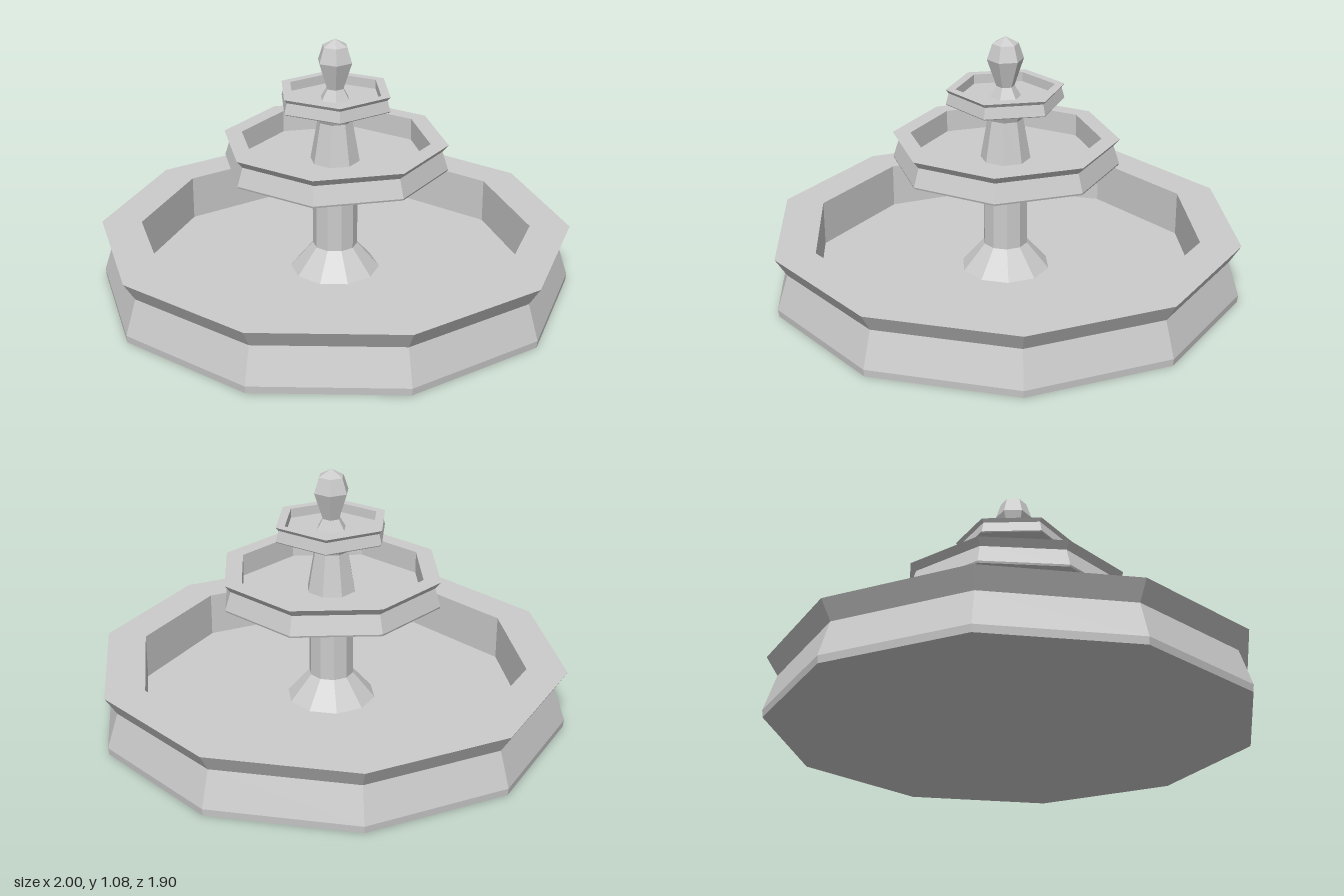
import * as THREE from 'three';

const stone = new THREE.MeshStandardMaterial({ color: 0xcccccc, flatShading: true });

// Faceted solid of revolution with a corner on the x axis; profile runs from bottom to top as [radius, y]
function turned(name, sides, profile) {
  const points = profile.map(([r, y]) => new THREE.Vector2(r, y));
  const geometry = new THREE.LatheGeometry(points, sides, Math.PI / 2).toNonIndexed();
  geometry.computeVertexNormals();
  const mesh = new THREE.Mesh(geometry, stone);
  mesh.name = name;
  return mesh;
}

// Open bowl: sloping outer wall, flared lip, flat rim, upright inner wall and flat floor
function bowl(name, sides, { radius, waist, inner, bottom, foot, ledge, top, floor }) {
  return turned(name, sides, [
    [0, bottom], [radius - 0.003, bottom], [radius, bottom + foot],
    [waist, ledge], [radius, top], [inner, top], [inner, floor], [0, floor],
  ]);
}

export function createModel() {
  const fountain = new THREE.Group();
  fountain.name = 'fountain';

  // Three tiers of bowls
  fountain.add(
    bowl('basin', 10, { radius: 1, waist: 0.952, inner: 0.83, bottom: 0, foot: 0.03, ledge: 0.178, top: 0.255, floor: 0.06 }),
    bowl('middleBowl', 8, { radius: 0.475, waist: 0.45, inner: 0.4, bottom: 0.535, foot: 0.008, ledge: 0.62, top: 0.65, floor: 0.555 }),
    bowl('topBowl', 6, { radius: 0.248, waist: 0.236, inner: 0.207, bottom: 0.8, foot: 0.004, ledge: 0.85, top: 0.865, floor: 0.825 }),
  );

  // Pedestal flaring at the foot and below the middle bowl
  fountain.add(turned('pedestal', 10, [
    [0.19, 0.06], [0.095, 0.17], [0.095, 0.44], [0.2, 0.535],
  ]));

  // Waisted column between middle and top bowls
  fountain.add(turned('upperColumn', 8, [
    [0.105, 0.555], [0.074, 0.73], [0.105, 0.8],
  ]));

  // Bud-shaped finial
  fountain.add(turned('finial', 6, [
    [0.065, 0.825], [0.038, 0.87], [0.077, 0.985], [0.055, 1.05], [0, 1.08],
  ]));

  return fountain;
}
